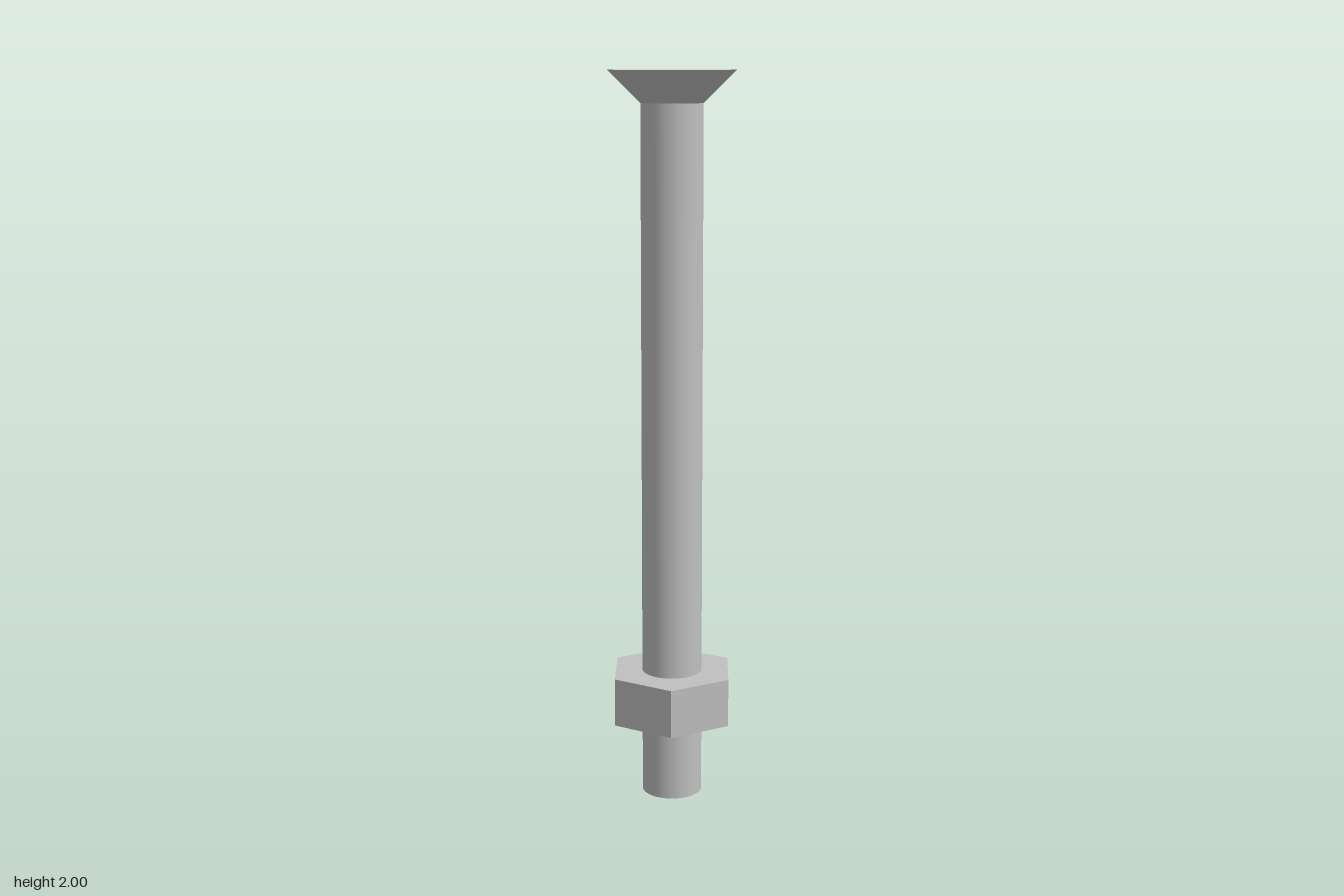
import * as THREE from 'three';

const SHANK_RADIUS = 0.083;
const HEAD_RADIUS = 0.17;
const HEAD_BASE = 1.915;
const NUT_RADIUS = 0.181;
const NUT_BOTTOM = 0.22;
const NUT_HEIGHT = 0.135;
const SIDES = 64;

export function createModel() {
  const steel = new THREE.MeshStandardMaterial({ color: 0xc0c0c0 });
  steel.name = 'steel';
  const model = new THREE.Group();
  model.name = 'boltWithNut';

  const add = (name, geometry, y) => {
    const mesh = new THREE.Mesh(geometry, steel);
    mesh.name = name;
    mesh.position.y = y;
    model.add(mesh);
  };

  // Smooth shank, closed at the bottom
  add('shank', new THREE.CylinderGeometry(SHANK_RADIUS, SHANK_RADIUS, HEAD_BASE, SIDES), HEAD_BASE / 2);

  // Countersunk head, flat on top
  const headHeight = 2 - HEAD_BASE;
  add('head', new THREE.CylinderGeometry(HEAD_RADIUS, SHANK_RADIUS, headHeight, SIDES), HEAD_BASE + headHeight / 2);

  // Hexagonal nut bored for the shank, with corners on the x axis
  const hexagon = new THREE.Shape();
  for (let i = 0; i < 6; i++) {
    const a = (i * Math.PI) / 3;
    const x = NUT_RADIUS * Math.cos(a);
    const y = NUT_RADIUS * Math.sin(a);
    if (i === 0) hexagon.moveTo(x, y);
    else hexagon.lineTo(x, y);
  }
  hexagon.closePath();
  hexagon.holes.push(new THREE.Path().absarc(0, 0, SHANK_RADIUS, 0, Math.PI * 2, true));
  const nut = new THREE.ExtrudeGeometry(hexagon, { depth: NUT_HEIGHT, bevelEnabled: false, curveSegments: SIDES });
  nut.rotateX(-Math.PI / 2);
  add('nut', nut, NUT_BOTTOM);

  return model;
}
